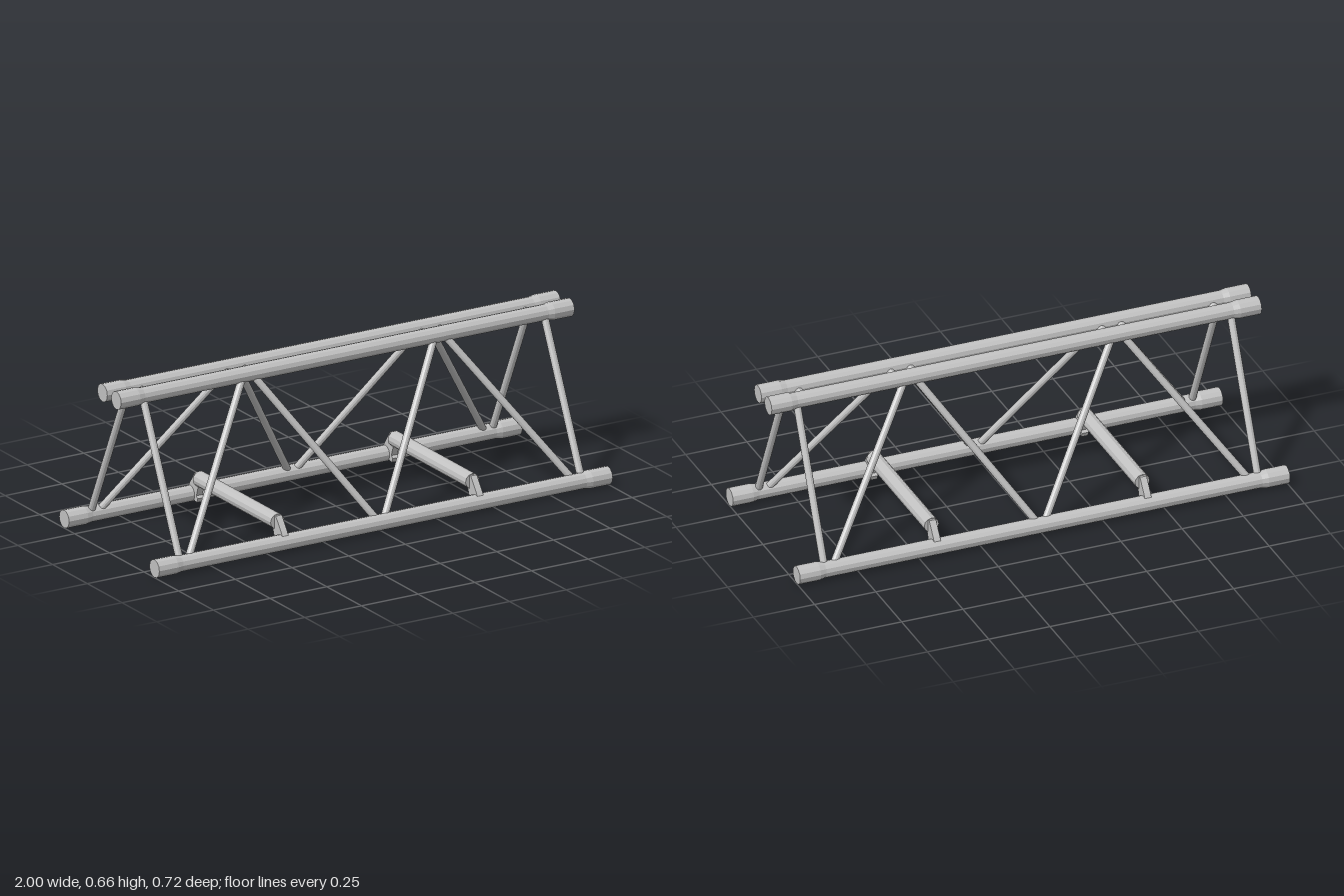
import * as THREE from 'three';

export function createModel() {
  const model = new THREE.Group();
  const steel = new THREE.MeshStandardMaterial({ color: 0xc2c2c2, flatShading: true });
  steel.name = 'light grey steel';

  const add = (name, geometry) => {
    const mesh = new THREE.Mesh(geometry, steel);
    mesh.name = name;
    model.add(mesh);
    return mesh;
  };

  // Round bar between two points
  const bar = (name, a, b, radius, sides = 12) => {
    const from = new THREE.Vector3(...a), to = new THREE.Vector3(...b);
    const dir = to.clone().sub(from);
    const mesh = add(name, new THREE.CylinderGeometry(radius, radius, dir.length(), sides));
    mesh.position.copy(from).add(to).multiplyScalar(0.5);
    mesh.quaternion.setFromUnitVectors(new THREE.Vector3(0, 1, 0), dir.normalize());
    return mesh;
  };

  const TOP = { y: 0.626, z: 0.05 }, LOW = { y: 0.038, z: 0.325 };

  // Long chords with thicker sleeves at both ends
  const profile = [
    [0, -1], [0.036, -1], [0.036, -0.915], [0.0315, -0.89],
    [0.0315, 0.89], [0.036, 0.915], [0.036, 1], [0, 1],
  ].map(([r, y]) => new THREE.Vector2(r, y));
  const chordGeometry = new THREE.LatheGeometry(profile, 12).rotateZ(-Math.PI / 2);

  // Point on a sloping side, at height y
  const onSide = (x, y, s) => {
    const t = (y - LOW.y) / (TOP.y - LOW.y);
    return [x, y, s * (LOW.z + (TOP.z - LOW.z) * t)];
  };

  // Hook plate outline: [z, y]
  const hookShape = new THREE.Shape([
    [0.342, 0.06], [0.328, 0.082], [0.29, 0.133], [0.268, 0.133], [0.268, 0.08],
    [0.282, 0.04], [0.272, 0.031], [0.278, 0.014], [0.293, 0.016], [0.32, 0.03],
  ].map(([z, y]) => new THREE.Vector2(z, y)));
  const hookGeometry = new THREE.ExtrudeGeometry(hookShape, { depth: 0.027, bevelEnabled: false })
    .translate(0, 0, -0.0135);

  for (const s of [1, -1]) {
    add('topChord', chordGeometry).position.set(0, TOP.y, s * TOP.z);
    add('bottomChord', chordGeometry).position.set(0, LOW.y, s * LOW.z);

    for (const m of [1, -1]) {
      // Side lattice: end post and two diagonals per half
      bar('endPost', onSide(m * 0.885, 0.05, s), onSide(m * 0.885, 0.61, s), 0.0145);
      bar('diagonal', onSide(m * 0.843, 0.055, s), onSide(m * 0.453, 0.607, s), 0.0145);
      bar('diagonal', onSide(m * 0.02, 0.055, s), onSide(m * 0.393, 0.607, s), 0.0145);

      // Hooks holding the cross bars to the bottom chords
      const hook = add('crossBarHook', hookGeometry);
      hook.rotation.y = -s * Math.PI / 2;
      hook.position.x = m * 0.43;

      // Links from the top chords down to the hinge pins
      for (const x of [0.47, 0.39, 0.845]) {
        bar('hingeLink', [m * x, TOP.y, s * TOP.z], [m * x, 0.601, 0], 0.02);
      }
    }
  }

  for (const m of [1, -1]) {
    // Cross bars near the bottom
    bar('crossBar', [m * 0.43, 0.107, -0.28], [m * 0.43, 0.107, 0.28], 0.03);
    // Hinge pins between the top chords
    bar('middleHingePin', [m * 0.37, 0.601, 0], [m * 0.49, 0.601, 0], 0.0215);
    bar('endHingePin', [m * 0.82, 0.601, 0], [m * 0.89, 0.601, 0], 0.0215);
  }
  return model;
}
